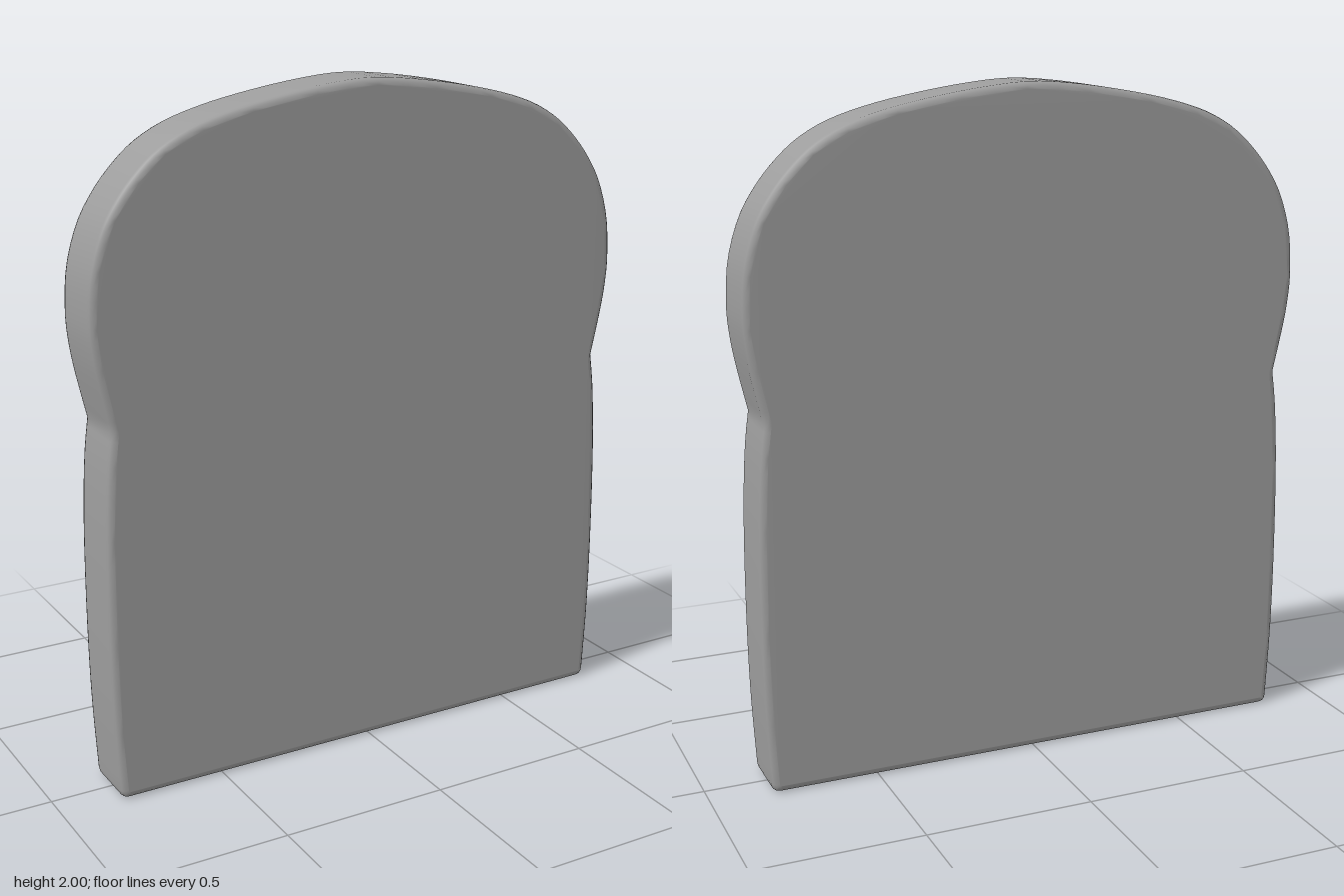
import * as THREE from 'three';
import { mergeVertices } from 'three/addons/utils/BufferGeometryUtils.js';

const DEPTH = 0.195, BEVEL = 0.02, CORNER = 0.024;

// Half outlines on the +x side, from bottom to top
const SIDE = [[0.821, CORNER], [0.832, 0.25], [0.835, 0.5], [0.831, 0.78], [0.82, 0.98], [0.805, 1.1]];
const CROWN = [[0.805, 1.1], [0.832, 1.22], [0.848, 1.31], [0.855, 1.405], [0.845, 1.53], [0.81, 1.645],
  [0.76, 1.73], [0.7, 1.8], [0.635, 1.855], [0.55, 1.9], [0.44, 1.935], [0.31, 1.963], [0.15, 1.988]];

const points = (list, sign = 1) => list.map(([x, y]) => new THREE.Vector2(sign * x, y));

// Slice outline: flat bottom, nearly straight sides, pinched waist, domed crown
function sliceShape() {
  const shape = new THREE.Shape();
  shape.moveTo(-0.82 + CORNER, 0);
  shape.lineTo(0.82 - CORNER, 0);
  shape.quadraticCurveTo(0.82, 0, ...SIDE[0]);
  shape.splineThru(points(SIDE).slice(1));
  shape.splineThru([...points(CROWN).slice(1), new THREE.Vector2(0, 2), ...points(CROWN, -1).reverse()]);
  shape.splineThru(points(SIDE, -1).reverse().slice(1));
  shape.quadraticCurveTo(-0.82, 0, -0.82 + CORNER, 0);
  return shape;
}

export function createModel() {
  const group = new THREE.Group();
  group.name = 'breadSlice';

  // Slab with softly rounded rims
  let geometry = new THREE.ExtrudeGeometry(sliceShape(), {
    depth: DEPTH - 2 * BEVEL, curveSegments: 3,
    bevelEnabled: true, bevelThickness: BEVEL, bevelSize: BEVEL, bevelOffset: -BEVEL, bevelSegments: 3,
  });
  geometry.translate(0, 0, BEVEL - DEPTH / 2);

  // Shared vertices give smooth normals over the rims
  geometry.deleteAttribute('uv');
  geometry.deleteAttribute('normal');
  geometry = mergeVertices(geometry, 1e-5);
  geometry.computeVertexNormals();

  const slice = new THREE.Mesh(geometry, new THREE.MeshStandardMaterial({ color: 0x9d9d9d }));
  slice.name = 'slice';
  group.add(slice);
  return group;
}
